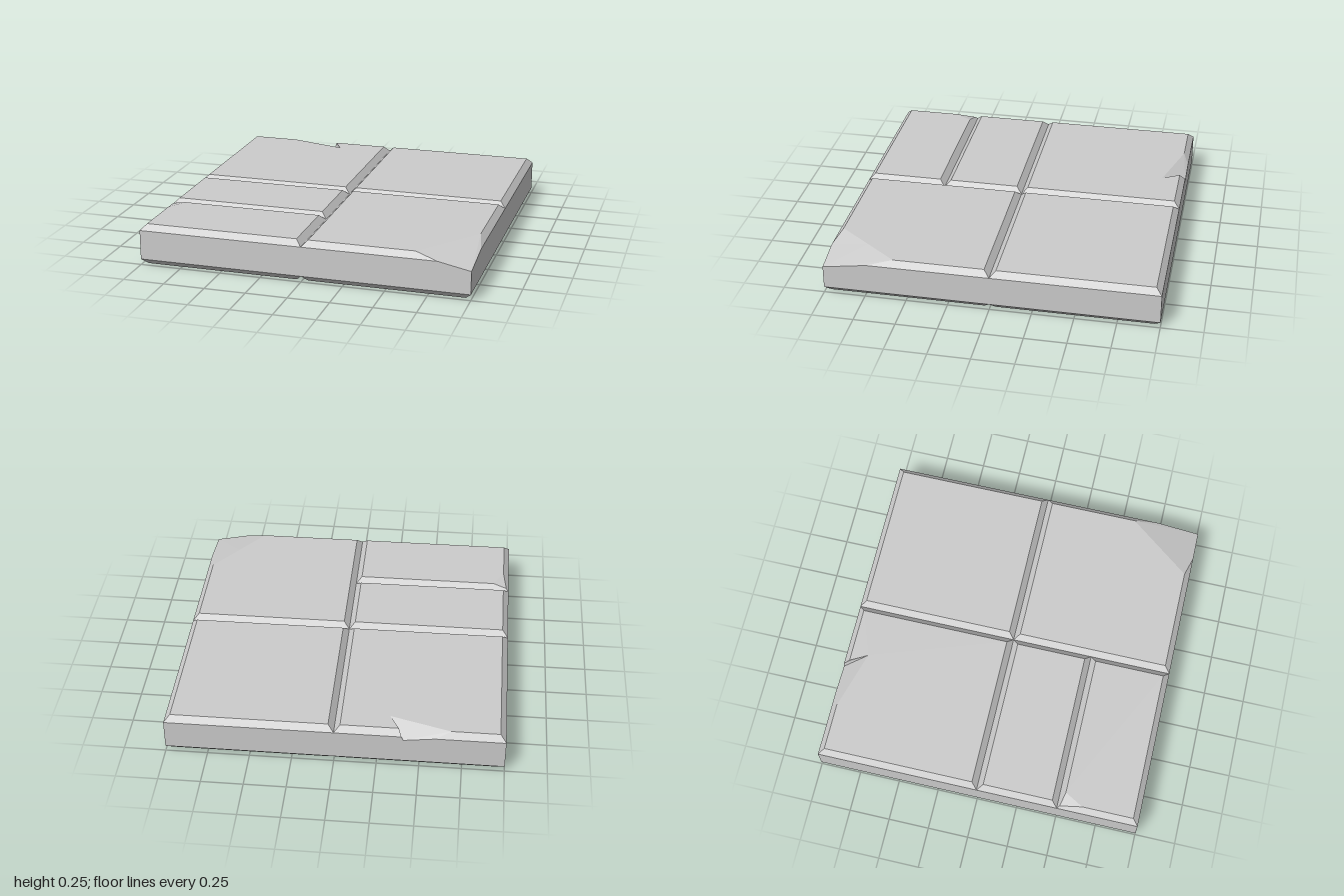
import * as THREE from 'three';

const H = 0.25, B = 0.035; // slab height and bevel size
const V = (x, y, z) => new THREE.Vector3(x, y, z);

// Faceted solid from stacked loops (counter-clockwise from above), capped at both ends
function loft(rings) {
  const pos = [], tri = new THREE.Triangle();
  const add = (a, b, c) => {
    tri.set(a, b, c);
    if (tri.getArea() > 1e-7) for (const p of [a, b, c]) pos.push(p.x, p.y, p.z);
  };
  for (let r = 0; r < rings.length - 1; r++) {
    const lo = rings[r], hi = rings[r + 1], n = lo.length;
    for (let i = 0; i < n; i++) {
      const j = (i + 1) % n;
      add(lo[i], lo[j], hi[j]);
      add(lo[i], hi[j], hi[i]);
    }
  }
  const cap = (ring, up) => {
    const outline = ring.map(p => new THREE.Vector2(p.x, -p.z));
    for (const [a, b, c] of THREE.ShapeUtils.triangulateShape(outline, [])) {
      if (up) add(ring[a], ring[b], ring[c]);
      else add(ring[a], ring[c], ring[b]);
    }
  };
  cap(rings[0], false);
  cap(rings[rings.length - 1], true);
  const geo = new THREE.BufferGeometry();
  geo.setAttribute('position', new THREE.Float32BufferAttribute(pos, 3));
  geo.computeVertexNormals();
  return geo;
}

// Bevelled slab. corners[i] replaces or extends corner i with { edge, mid, top } points.
// botIn0 / botIn1: underside bevel at the back and front sides.
function slab([x0, x1, z0, z1], corners = {}, botIn0 = B, botIn1 = B) {
  const clamp = THREE.MathUtils.clamp;
  const plain = (x, z) => ({
    edge: V(x, H - B, z),
    top: V(clamp(x, x0 + B, x1 - B), H, clamp(z, z0 + B, z1 - B)),
  });
  const pts = [[x0, z0], [x0, z1], [x1, z1], [x1, z0]]
    .flatMap(([x, z], i) => corners[i] ? corners[i](plain(x, z)) : [plain(x, z)]);
  return loft([
    pts.map(({ edge }) => V(clamp(edge.x, x0 + B, x1 - B), 0, clamp(edge.z, z0 + botIn0, z1 - botIn1))),
    pts.map(({ edge }) => V(edge.x, B, edge.z)),
    pts.map(p => p.edge),
    pts.map(p => p.mid ?? p.top),
    pts.map(p => p.top),
  ]);
}

export function createModel() {
  const group = new THREE.Group();
  const stone = new THREE.MeshStandardMaterial({ color: 0xcccccc, flatShading: true });
  const add = (name, geo) => {
    const mesh = new THREE.Mesh(geo, stone);
    mesh.name = name;
    group.add(mesh);
  };

  add('backLeftSlab', slab([0, 1, -1, 0]));

  // Large broken corner
  add('brokenCornerSlab', slab([0, 1, 0, 1], {
    2: () => [
      { edge: V(0.805, H - B, 1), top: V(0.67, H, 1 - B) },
      { edge: V(1, 0.175, 1), top: V(0.8175, H, 0.7725) },
      { edge: V(1, H - B, 0.735), top: V(1 - B, H, 0.58) },
    ],
  }));

  // Wedge-shaped notch in the back edge
  add('notchedSlab', slab([-1, 0, -1, 0], {
    3: corner => [
      corner,
      { edge: V(-0.395, H - B, -1), top: V(-0.377, H, -1 + B) },
      { edge: V(-0.405, 0.19, -1), top: V(-0.32, H, -0.86) },
      { edge: V(-0.59, H - B, -1), top: V(-0.68, H, -1 + B) },
    ],
  }));

  // Two half slabs, joined on the underside; the front one has a small chip
  add('halfSlab', slab([-1, 0, 0, 0.5], {}, B, 0));
  const apex = V(-0.985, H - B + 0.015, 0.515);
  add('chippedHalfSlab', slab([-1, 0, 0.5, 1], {
    0: ({ edge }) => [
      { edge, mid: apex, top: V(-0.9, H, 0.5 + B) },
      { edge, mid: apex, top: V(-1 + B, H, 0.65) },
    ],
  }, 0, B));

  return group;
}
